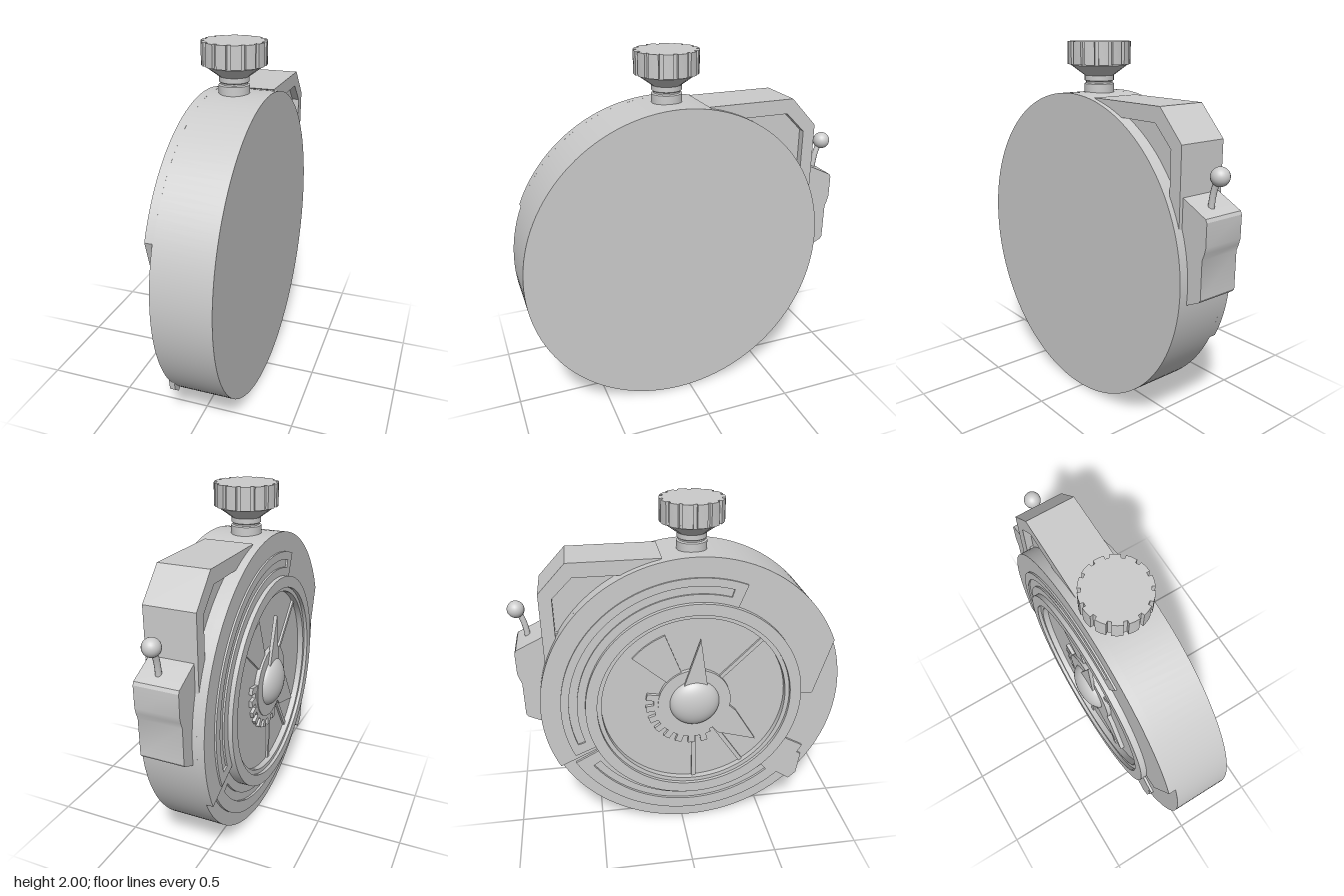
import * as THREE from 'three';
import { toCreasedNormals } from 'three/addons/utils/BufferGeometryUtils.js';

const material = new THREE.MeshStandardMaterial({ color: 0xcccccc });
const rad = THREE.MathUtils.degToRad;

export function createModel() {
  const model = new THREE.Group();
  // Local frame of the dial: x runs to world +z, y is up, z points out of the dial (world -x)
  const watch = new THREE.Group();
  watch.name = 'watch';
  watch.position.set(0, 0.867, 0.065);
  watch.rotation.y = -Math.PI / 2;
  model.add(watch);

  const add = (parent, name, geometry, x = 0, y = 0, z = 0) => {
    const mesh = new THREE.Mesh(geometry, material);
    mesh.name = name;
    mesh.position.set(x, y, z);
    parent.add(mesh);
    return mesh;
  };
  const poly = (pts) => new THREE.Shape(pts.map(([x, y]) => new THREE.Vector2(x, y)));
  // Slab between two depths of the dial frame
  const slab = (name, shape, z0, z1) => {
    const geo = new THREE.ExtrudeGeometry(shape, { depth: z1 - z0, bevelEnabled: false, curveSegments: 64 });
    return add(watch, name, toCreasedNormals(geo, rad(25)), 0, 0, z0);
  };
  // Sector of a ring, angles in degrees from local +x
  const sector = (r0, r1, a0, a1) => {
    const s = new THREE.Shape();
    s.absarc(0, 0, r1, rad(a0), rad(a1), false);
    s.absarc(0, 0, r0, rad(a1), rad(a0), true);
    s.closePath();
    return s;
  };
  const ring = (r0, r1) => {
    const s = new THREE.Shape().absarc(0, 0, r1, 0, Math.PI * 2, false);
    s.holes.push(new THREE.Path().absarc(0, 0, r0, 0, Math.PI * 2, true));
    return s;
  };
  // Toothed outline between two radii
  const toothed = (r0, r1, n, a0, a1, fill) => {
    const pts = [];
    const step = (a1 - a0) / n;
    for (let i = 0; i < n; i++) {
      [[0, r1], [fill / 2, r1], [fill, r1], [fill + 0.02, r0], [0.98, r0]].forEach(([t, r]) => {
        const a = rad(a0 + (i + t) * step);
        pts.push([r * Math.cos(a), r * Math.sin(a)]);
      });
    }
    return pts;
  };

  // Round case
  const caseGeo = new THREE.CylinderGeometry(0.865, 0.865, 0.315, 128);
  caseGeo.rotateX(Math.PI / 2);
  add(watch, 'case', caseGeo, 0, 0, -0.0525);

  // Upper cover plate with a slanted end
  const plate = new THREE.Shape();
  plate.moveTo(0.55, 0);
  plate.lineTo(0.70, 0);
  plate.lineTo(0.798, 0.333);
  plate.absarc(0, 0, 0.865, rad(22.6), rad(205), false);
  plate.absarc(0, 0, 0.55, rad(205), 0, true);
  slab('upperPlate', plate, 0.1, 0.145);

  // Raised arc frames, each with a slot along it
  const upperArc = sector(0.6, 0.755, 68, 203);
  upperArc.holes.push(sector(0.665, 0.71, 73, 198));
  slab('upperArcFrame', upperArc, 0.14, 0.155);
  const lowerArc = sector(0.6, 0.79, 208, 330);
  lowerArc.holes.push(sector(0.67, 0.72, 214, 310));
  slab('lowerArcFrame', lowerArc, 0.1, 0.12);
  slab('lowerStop', poly([[0.5, -0.56], [0.615, -0.64], [0.66, -0.6], [0.68, -0.46], [0.58, -0.4]]), 0.09, 0.12);

  // Dial bezel and floor
  slab('bezel', ring(0.555, 0.62), 0.1, 0.18);
  slab('bezelLip', ring(0.53, 0.56), 0.1, 0.16);
  add(watch, 'dialFloor', new THREE.CircleGeometry(0.56, 96), 0, 0, 0.125);

  // Ribs across the dial
  [44, 270, 303].forEach((angle) => {
    const a = rad(angle);
    const rib = add(watch, 'dialRib', new THREE.BoxGeometry(0.36, 0.024, 0.015), 0.37 * Math.cos(a), 0.37 * Math.sin(a), 0.13);
    rib.rotation.z = a;
  });
  slab('dialSector', sector(0.2, 0.46, 111, 139), 0.12, 0.137);

  // Hands
  slab('longHand', poly([[-0.075, 0.08], [0.075, 0.08], [0.03, 0.4]]), 0.145, 0.165);
  slab('shortHand', poly([[0.1, 0.06], [0.08, -0.14], [0.14, -0.22], [0.37, -0.29], [0.245, -0.08]]), 0.125, 0.15);

  // Partial gear and collar around the hub
  const gear = poly(toothed(0.235, 0.28, 8, 165, 295, 0.5).concat([[0.07, -0.13], [-0.14, 0.05]]));
  slab('hubGear', gear, 0.12, 0.145);
  slab('hubCollar', ring(0.13, 0.21), 0.12, 0.15);
  const dome = new THREE.SphereGeometry(0.145, 48, 16, 0, Math.PI * 2, 0, Math.PI / 2);
  dome.rotateX(Math.PI / 2);
  dome.scale(1, 1, 0.52);
  add(watch, 'hubDome', dome, 0, 0, 0.139);

  // Angular guard at the upper back: full-width rim and a recessed web
  const guard = poly([[-0.17, 0.853], [-0.665, 0.853], [-0.815, 0.693], [-0.815, 0.2], [-0.745, 0.2],
    [-0.745, 0.663], [-0.635, 0.773], [-0.3, 0.773]]);
  slab('guardRim', guard, -0.18, 0.1);
  slab('guardWeb', poly([[-0.2, 0.83], [-0.655, 0.83], [-0.79, 0.68], [-0.79, 0.25], [-0.5, 0.4]]), -0.14, 0.06);

  // Lever housing
  slab('leverHousing', poly([[-0.7, 0.47], [-0.815, 0.443], [-0.962, 0.372], [-0.97, 0.355], [-0.97, 0.235], [-0.963, 0.205],
    [-0.95, 0.17], [-0.95, -0.03], [-0.94, -0.045], [-0.855, -0.087], [-0.75, -0.05]]), -0.16, 0.08);

  // Lever with a ball end
  const path = new THREE.QuadraticBezierCurve3(
    new THREE.Vector3(0.06, 1.22, -0.835), new THREE.Vector3(0.06, 1.35, -0.835), new THREE.Vector3(0.06, 1.42, -0.88));
  add(model, 'lever', new THREE.TubeGeometry(path, 12, 0.016, 12));
  add(model, 'leverBall', new THREE.SphereGeometry(0.047, 24, 16), 0.06, 1.42, -0.883);

  // Crown: stem, flared skirt and notched cap
  const crown = new THREE.Group();
  crown.name = 'crown';
  crown.position.set(0.015, 0, 0.068);
  model.add(crown);
  const profile = [[0.082, 1.7], [0.082, 1.775], [0.072, 1.78], [0.072, 1.788], [0.08, 1.793], [0.08, 1.82],
    [0.155, 1.875], [0.155, 1.89], [0, 1.89]].map(([r, y]) => new THREE.Vector2(r, y));
  add(crown, 'crownStem', toCreasedNormals(new THREE.LatheGeometry(profile, 48), rad(25)));
  const cap = new THREE.ExtrudeGeometry(poly(toothed(0.155, 0.172, 14, 0, 360, 0.7)), { depth: 0.12, bevelEnabled: false });
  cap.rotateX(-Math.PI / 2);
  add(crown, 'crownCap', toCreasedNormals(cap, rad(25)), 0, 1.88, 0);

  return model;
}
